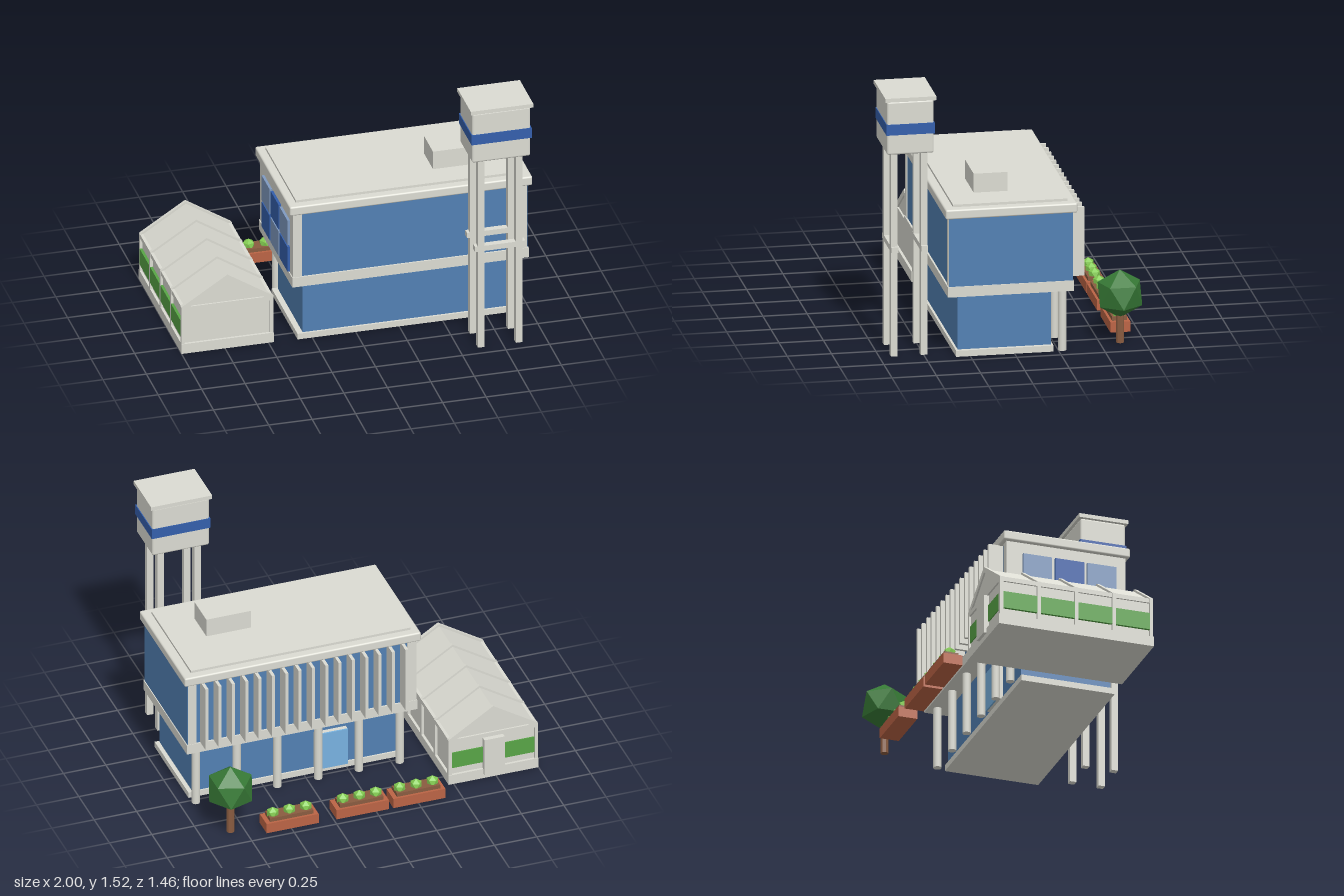
import * as THREE from 'three';
import { RoundedBoxGeometry } from 'three/addons/geometries/RoundedBoxGeometry.js';

const mat = (name, color, flatShading = false) => {
  const m = new THREE.MeshStandardMaterial({ color, flatShading });
  m.name = name;
  return m;
};

export function createModel() {
  const model = new THREE.Group();
  model.name = 'officeWithGreenhouse';

  const concrete = mat('concrete', 0xdbdbd2);
  const glass = mat('blueGlass', 0x5280b3);
  const royal = mat('royalBlue', 0x345fac);
  const slate = mat('slateBlue', 0x7f9ac0);
  const doorBlue = mat('doorBlue', 0x78b2e0);
  const crop = mat('cropGreen', 0x58a546);
  const foliage = mat('treeGreen', 0x377a36, true);
  const leaf = mat('leafGreen', 0x82ca50, true);
  const terracotta = mat('terracotta', 0xbb6445);
  const wood = mat('brown', 0x8a5c40, true);

  const group = (name) => {
    const g = new THREE.Group();
    g.name = name;
    model.add(g);
    return g;
  };
  const add = (parent, name, geometry, material, x = 0, y = 0, z = 0) => {
    const m = new THREE.Mesh(geometry, material);
    m.name = name;
    m.position.set(x, y, z);
    parent.add(m);
    return m;
  };
  // Box given by its limits on each axis; a radius rounds its edges
  const box = (parent, name, material, [x0, x1], [y0, y1], [z0, z1], radius = 0) => {
    const s = [x1 - x0, y1 - y0, z1 - z0];
    const geo = radius ? new RoundedBoxGeometry(...s, 2, radius) : new THREE.BoxGeometry(...s);
    return add(parent, name, geo, material, (x0 + x1) / 2, (y0 + y1) / 2, (z0 + z1) / 2);
  };
  // Icosahedron standing on a corner
  const bush = (r) => new THREE.IcosahedronGeometry(r, 0).rotateZ(Math.atan(2 / (1 + Math.sqrt(5))));

  // Ground floor
  const office = group('office');
  box(office, 'groundSlab', concrete, [-0.335, 0.933], [0, 0.035], [-0.22, 0.33]);
  box(office, 'groundGlass', glass, [-0.302, 0.908], [0.035, 0.37], [-0.21, 0.317]);
  box(office, 'doorFrame', concrete, [0.0, 0.19], [0.035, 0.265], [-0.236, -0.2]);
  box(office, 'entranceDoor', doorBlue, [0.0, 0.19], [0.035, 0.265], [-0.245, -0.236]);
  for (let i = 0; i < 6; i++) {
    add(office, 'backColumn', new THREE.CylinderGeometry(0.024, 0.024, 0.37, 12), concrete,
      0.908 - i * 0.2406, 0.185, -0.272);
  }

  // Upper floor
  box(office, 'upperSlab', concrete, [-0.38, 0.98], [0.362, 0.422], [-0.325, 0.385]);
  box(office, 'upperGlass', glass, [-0.325, 0.925], [0.422, 0.825], [-0.315, 0.375]);
  box(office, 'leftEndWall', concrete, [0.922, 0.972], [0.422, 0.825], [-0.322, 0.38]);
  box(office, 'leftEndGlass', glass, [0.97, 0.975], [0.422, 0.825], [-0.32, 0.378]);
  box(office, 'rightEndWall', concrete, [-0.375, -0.322], [0.422, 0.825], [-0.322, 0.38]);

  // Checkered panels on the right end wall
  for (let row = 0; row < 2; row++) {
    for (let col = 0; col < 3; col++) {
      const y = 0.43 + row * 0.167;
      const z = -0.228 + col * 0.189;
      box(office, 'wallPanel', (row + col) % 2 ? slate : royal, [-0.39, -0.37], [y, y + 0.155], [z, z + 0.17]);
    }
  }

  // Sun fins along the back
  for (let i = 0; i < 16; i++) {
    const x = -0.291 + i * 0.0787;
    box(office, 'sunFin', concrete, [x - 0.009, x + 0.009], [0.422, 0.822], [-0.4, -0.31]);
  }

  // Roof
  box(office, 'roofSlab', concrete, [-0.397, 0.998], [0.82, 0.876], [-0.343, 0.4], 0.01);
  box(office, 'roofDeck', concrete, [-0.35, 0.945], [0.87, 0.89], [-0.295, 0.35]);
  box(office, 'roofHut', concrete, [0.48, 0.745], [0.885, 1.0], [0.007, 0.197]);

  // Water tower
  const tower = group('waterTower');
  tower.position.set(0.734, 0, 0.582);
  for (const z of [-0.084, 0.084]) {
    for (const x of [-0.109, 0.109]) {
      box(tower, 'towerLeg', concrete, [x - 0.019, x + 0.019], [0, 1.2], [z - 0.019, z + 0.019]);
    }
    box(tower, 'towerBrace', concrete, [-0.145, 0.145], [0.606, 0.638], [z - 0.019, z + 0.019]);
  }
  box(tower, 'tank', concrete, [-0.168, 0.168], [1.184, 1.494], [-0.132, 0.132], 0.012);
  box(tower, 'tankBand', royal, [-0.173, 0.173], [1.3, 1.362], [-0.136, 0.136]);
  box(tower, 'tankLid', concrete, [-0.18, 0.18], [1.494, 1.517], [-0.144, 0.144]);

  // Greenhouse
  const house = group('greenhouse');
  house.position.x = -0.735;
  const zBack = -0.583, zFront = 0.32;
  box(house, 'houseBase', concrete, [-0.265, 0.265], [0, 0.06], [zBack - 0.005, zFront + 0.005]);
  const gable = new THREE.Shape([[-0.25, 0.05], [0.25, 0.05], [0.25, 0.28], [0, 0.435], [-0.25, 0.28]]
    .map((p) => new THREE.Vector2(...p)));
  add(house, 'houseBody', new THREE.ExtrudeGeometry(gable, { depth: zFront - zBack - 0.02, bevelEnabled: false }),
    concrete, 0, 0, zBack + 0.01);

  // A chevron strip for the roof skin, its ribs and the gable trims
  const chevron = (name, lift, thick, z0, z1) => {
    const pts = [[-0.263, 0.278], [0, 0.447], [0.263, 0.278]];
    const shape = new THREE.Shape([
      ...pts.map(([x, y]) => new THREE.Vector2(x, y + lift - thick)),
      ...pts.reverse().map(([x, y]) => new THREE.Vector2(x, y + lift)),
    ]);
    add(house, name, new THREE.ExtrudeGeometry(shape, { depth: z1 - z0, bevelEnabled: false }), concrete, 0, 0, z0);
  };
  chevron('roofSkin', 0, 0.015, zBack + 0.004, zFront - 0.004);

  const step = (zFront - zBack - 0.02) / 4;
  for (let i = 0; i < 5; i++) {
    const z = zBack + 0.01 + i * step;
    chevron('roofRib', 0.014, 0.035, z - 0.01, z + 0.01);
    for (const s of [-1, 1]) {
      add(house, 'wallPost', new THREE.BoxGeometry(0.02, 0.23, 0.02), concrete, s * 0.255, 0.175, z);
    }
    if (i < 4) box(house, 'cropStrip', crop, [-0.2655, -0.249], [0.1, 0.2], [z + 0.01, z + step - 0.01]);
  }
  for (const s of [-1, 1]) {
    add(house, 'eaveBeam', new THREE.BoxGeometry(0.02, 0.025, zFront - zBack), concrete, s * 0.253, 0.277, (zFront + zBack) / 2);
  }
  for (const z of [zBack + 0.01, zFront - 0.01]) {
    add(house, 'gableBeam', new THREE.BoxGeometry(0.5, 0.025, 0.02), concrete, 0, 0.277, z);
  }

  // Back gable with door and crops
  box(house, 'houseDoor', concrete, [-0.06, 0.06], [0.03, 0.26], [-0.605, -0.57]);
  for (const [x0, x1] of [[-0.245, -0.06], [0.06, 0.245]]) {
    box(house, 'cropStrip', crop, [x0, x1], [0.1, 0.2], [zBack + 0.004, zBack + 0.012]);
  }

  // Planters
  for (const x of [-0.255, 0.08, 0.493]) {
    const planter = group('planter');
    planter.position.set(x, 0, -0.649);
    box(planter, 'planterBox', terracotta, [-0.154, 0.154], [0, 0.06], [-0.056, 0.056]);
    box(planter, 'soil', wood, [-0.128, 0.128], [0.055, 0.083], [-0.042, 0.042]);
    for (const px of [-0.097, 0, 0.097]) add(planter, 'plant', bush(0.037), leaf, px, 0.09, 0);
  }

  // Tree
  const tree = group('tree');
  tree.position.set(0.827, 0, -0.613);
  add(tree, 'trunk', new THREE.CylinderGeometry(0.023, 0.023, 0.18, 8), wood, 0, 0.09, 0);
  add(tree, 'crown', bush(0.14), foliage, 0, 0.283, 0);

  return model;
}
